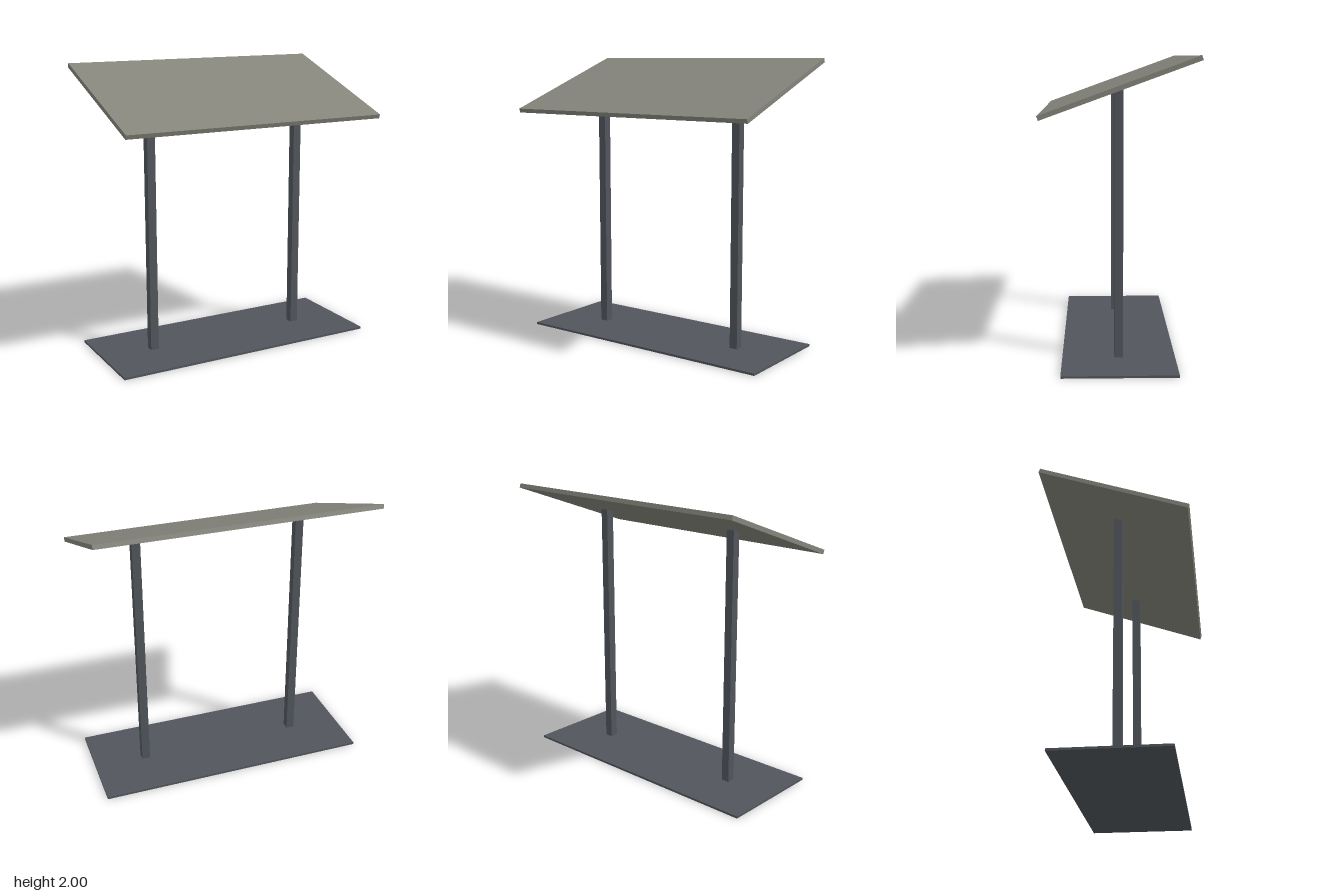
import * as THREE from 'three';

export function createModel() {
  const group = new THREE.Group();

  const steel = new THREE.MeshStandardMaterial({ color: 0x51565c });
  steel.name = 'dark steel';
  const board = new THREE.MeshStandardMaterial({ color: 0x85857c });
  board.name = 'warm grey board';

  const addBox = (name, material, size, position) => {
    const mesh = new THREE.Mesh(new THREE.BoxGeometry(...size), material);
    mesh.name = name;
    mesh.position.set(...position);
    group.add(mesh);
    return mesh;
  };

  // Thin ground plate
  addBox('basePlate', steel, [1.92, 0.015, 0.75], [0, 0.0075, -0.004]);

  // Two square posts, ending inside the tilted panel
  for (const [name, side] of [['leftPost', 1], ['rightPost', -1]]) {
    addBox(name, steel, [0.058, 1.79, 0.058], [side * 0.583, 0.905, -0.004]);
  }

  // Display panel, tilted 20 degrees with its front edge low
  const panel = addBox('displayPanel', board, [1.92, 0.03, 1.054], [0, 1.805, 0]);
  panel.rotation.x = THREE.MathUtils.degToRad(20);

  return group;
}
